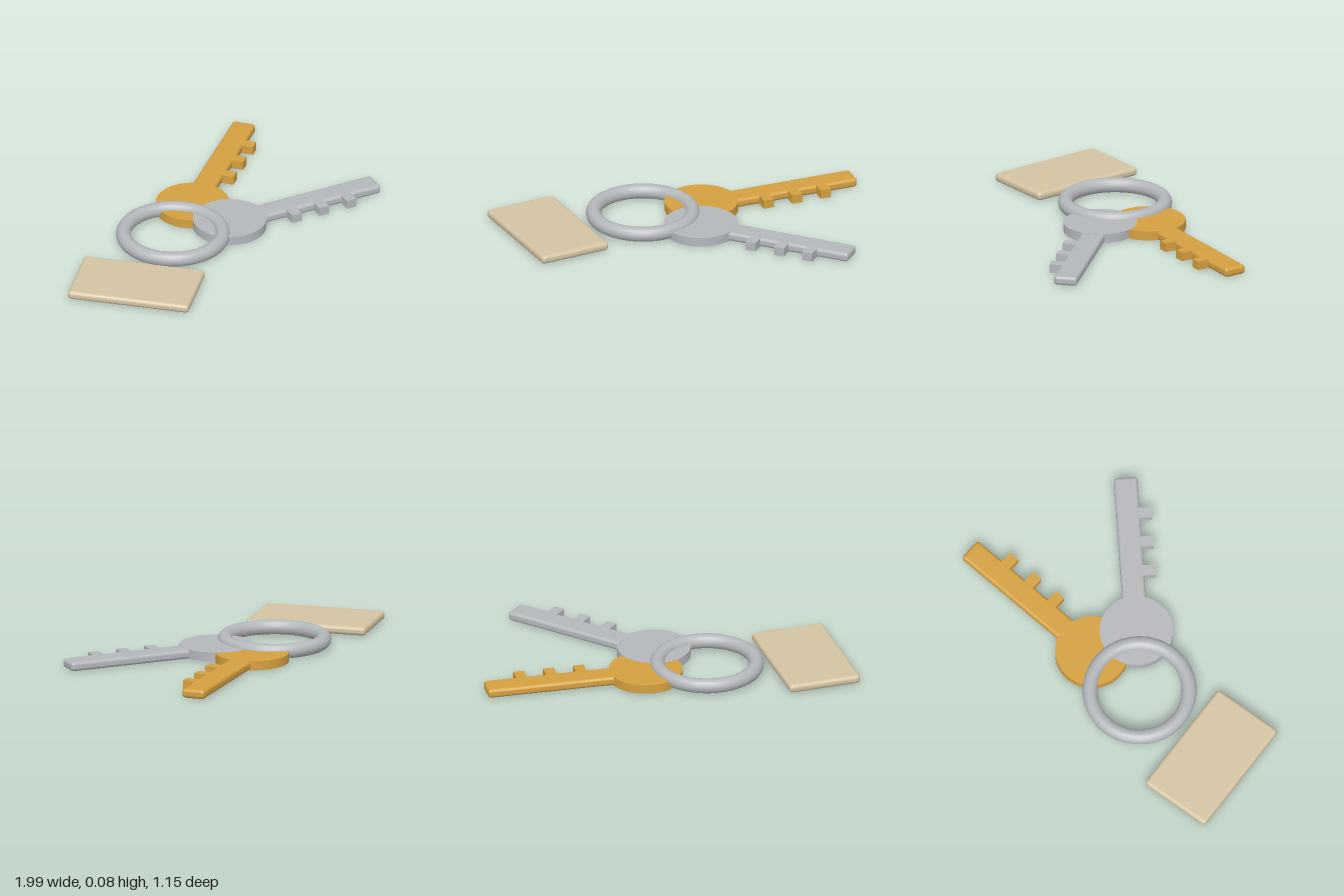
import * as THREE from 'three';
import { RoundedBoxGeometry } from 'three/addons/geometries/RoundedBoxGeometry.js';

const material = (name, color) => {
  const m = new THREE.MeshStandardMaterial({ color });
  m.name = name;
  return m;
};

function add(parent, name, geometry, mat, x, y, z) {
  const mesh = new THREE.Mesh(geometry, mat);
  mesh.name = name;
  mesh.position.set(x, y, z);
  parent.add(mesh);
  return mesh;
}

// A key lying flat: round head at the origin, blade along +x, teeth towards +z
function makeKey(name, mat, lift) {
  const key = new THREE.Group();
  key.name = name;
  const thick = 0.05, mid = thick / 2;
  add(key, 'keyHead', new THREE.CylinderGeometry(0.197, 0.197, thick, 48), mat, 0, mid + lift, 0);

  const start = 0.12, end = 0.876;
  add(key, 'keyBlade', new RoundedBoxGeometry(end - start, thick, 0.128, 4, 0.018), mat,
    (start + end) / 2, mid, 0);

  for (let i = 0; i < 3; i++) {
    add(key, 'keyTooth', new THREE.BoxGeometry(0.058, 0.048, 0.08), mat, 0.34 + i * 0.164, mid, 0.085);
  }
  return key;
}

export function createModel() {
  const model = new THREE.Group();
  model.name = 'keyRingWithKeys';
  const silver = material('silver', 0xb4b7ba);
  const gold = material('gold', 0xd4a040);
  const beige = material('beige', 0xd2c3a2);

  // Split ring
  const ring = add(model, 'ring', new THREE.TorusGeometry(0.265, 0.04, 16, 64), silver, -0.163, 0.042, -0.013);
  ring.rotation.x = Math.PI / 2;

  // Keys
  const goldKey = makeKey('goldKey', gold, 0);
  goldKey.position.set(0.142, 0, -0.157);
  goldKey.rotation.y = THREE.MathUtils.degToRad(24.8);
  const silverKey = makeKey('silverKey', silver, 0.001);
  silverKey.position.set(0.152, 0, 0.106);
  silverKey.rotation.y = THREE.MathUtils.degToRad(-19.7);
  model.add(goldKey, silverKey);

  // Rectangular tag
  const tag = add(model, 'tag', new RoundedBoxGeometry(0.4, 0.047, 0.665, 4, 0.02), beige, -0.663, 0.0255, 0.188);
  tag.rotation.y = THREE.MathUtils.degToRad(30);

  return model;
}
